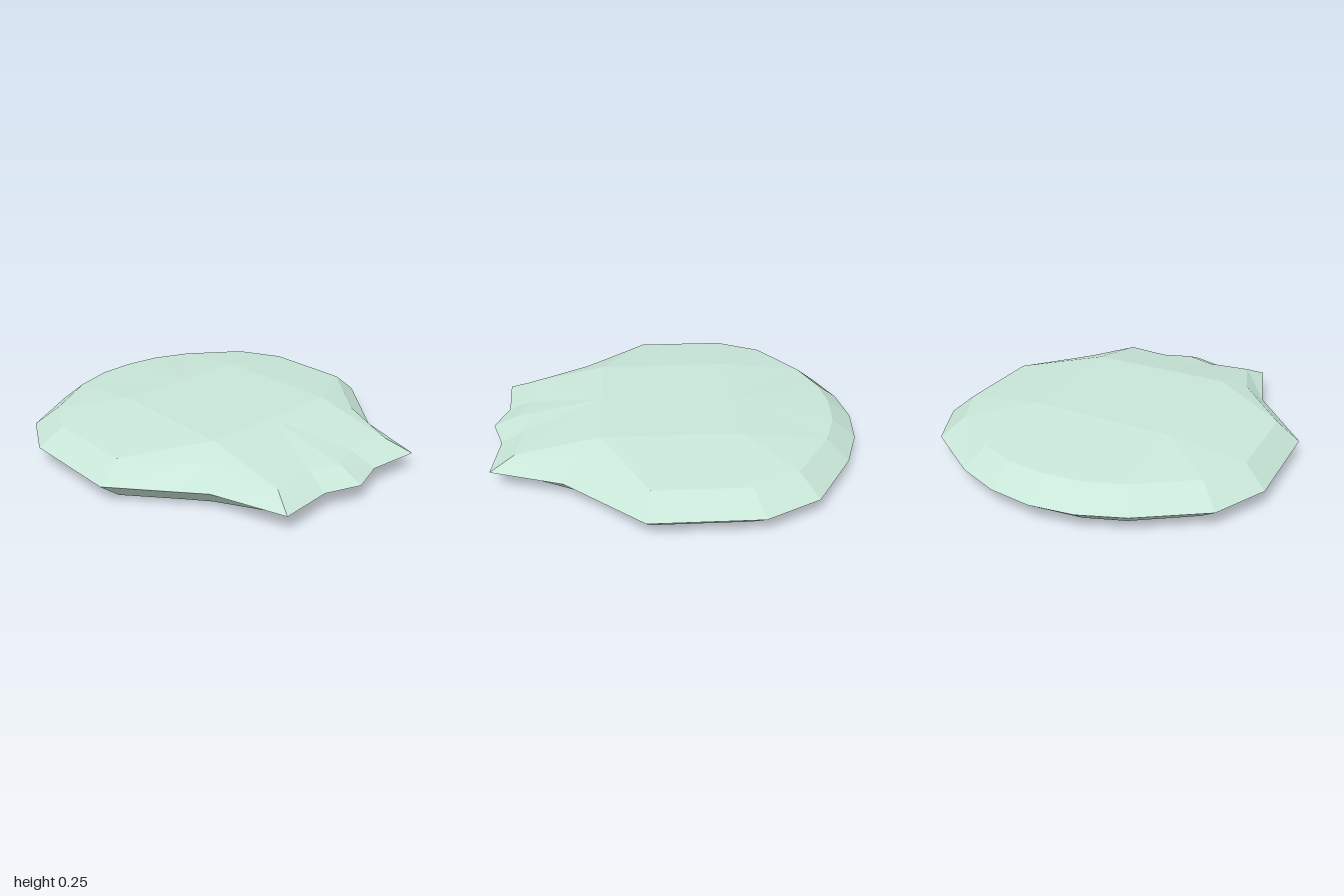
import * as THREE from 'three';

// Half outlines (+x side), running from the back centre to the front tip: [x, z]
const RIM = [[0, -1], [0.23, -0.97], [0.46, -0.88], [0.79, -0.66], [0.93, -0.38], [0.93, 0.18],
  [0.695, 0.457], [0.59, 0.58], [0.465, 0.96], [0.185, 0.935], [0, 1]];
const INSET = [[0, -0.865], [0.2, -0.845], [0.4, -0.77], [0.69, -0.57], [0.81, -0.33], [0.81, 0.155],
  [0.6, 0.4], [0.51, 0.51], [0.4, 0.835], [0.16, 0.81], [0, 0.865]];
const TAIL = 8; // first index of the thinner front edge

const ring = (outline, y, tailY) => outline.map(([x, z], i) => [x, i < TAIL ? y : tailY, z]);

// Flat-shaded mesh from half-side polygons, mirrored in x; side = 1 faces up, -1 faces down
function mirroredMesh(name, polygons, side, material) {
  const pos = [];
  const addTriangle = (a, b, c) => {
    const up = (b[2] - a[2]) * (c[0] - a[0]) - (b[0] - a[0]) * (c[2] - a[2]);
    pos.push(...a, ...(up * side > 0 ? [...b, ...c] : [...c, ...b]));
  };
  for (const mirror of [1, -1]) {
    for (const polygon of polygons) {
      const p = polygon.map(([x, y, z]) => [x * mirror, y, z]);
      for (let i = 1; i < p.length - 1; i++) addTriangle(p[0], p[i], p[i + 1]);
    }
  }
  const geometry = new THREE.BufferGeometry();
  geometry.setAttribute('position', new THREE.Float32BufferAttribute(pos, 3));
  geometry.computeVertexNormals();
  const mesh = new THREE.Mesh(geometry, material);
  mesh.name = name;
  return mesh;
}

// Quads joining two rings
const bevel = (a, b) => a.slice(1).map((p, i) => [a[i], p, b[i + 1], b[i]]);

// Triangles from a hub to consecutive ring points
const fan = (hub, points) => points.slice(1).map((p, i) => [hub, points[i], p]);

export function createModel() {
  const material = new THREE.MeshStandardMaterial({ color: 0xc8e6d8, flatShading: true });
  const rim = ring(RIM, 0.1, 0.1);
  const top = ring(INSET, 0.2, 0.16);
  const bottom = ring(INSET, 0, 0.04);

  // Raised plateau: centre line and side corners
  const backMid = [0, 0.25, -0.33], frontMid = [0, 0.25, 0.4];
  const backCorner = [0.4, 0.25, -0.33], frontCorner = [0.4, 0.25, 0.4];
  const upperFaces = [
    ...fan(backMid, top.slice(0, 3)),
    [backMid, top[2], backCorner],
    ...fan(backCorner, top.slice(2, 6)),
    [backCorner, top[5], frontCorner],
    [backMid, backCorner, frontCorner, frontMid],
    ...fan(frontCorner, top.slice(5, 9)),
    [frontMid, frontCorner, top[8]],
    ...fan(frontMid, top.slice(8)),
  ];

  // Flat base, lifting slightly towards the front edge
  const baseFront = [0, 0, 0.51];
  const lowerFaces = [
    ...fan([0, 0, 0], [...bottom.slice(0, 8), baseFront]),
    ...fan(baseFront, bottom.slice(7)),
  ];

  const group = new THREE.Group();
  group.name = 'shell';
  group.add(
    mirroredMesh('upperShell', upperFaces, 1, material),
    mirroredMesh('upperBevel', bevel(rim, top), 1, material),
    mirroredMesh('lowerBevel', bevel(rim, bottom), -1, material),
    mirroredMesh('base', lowerFaces, -1, material),
  );
  return group;
}
